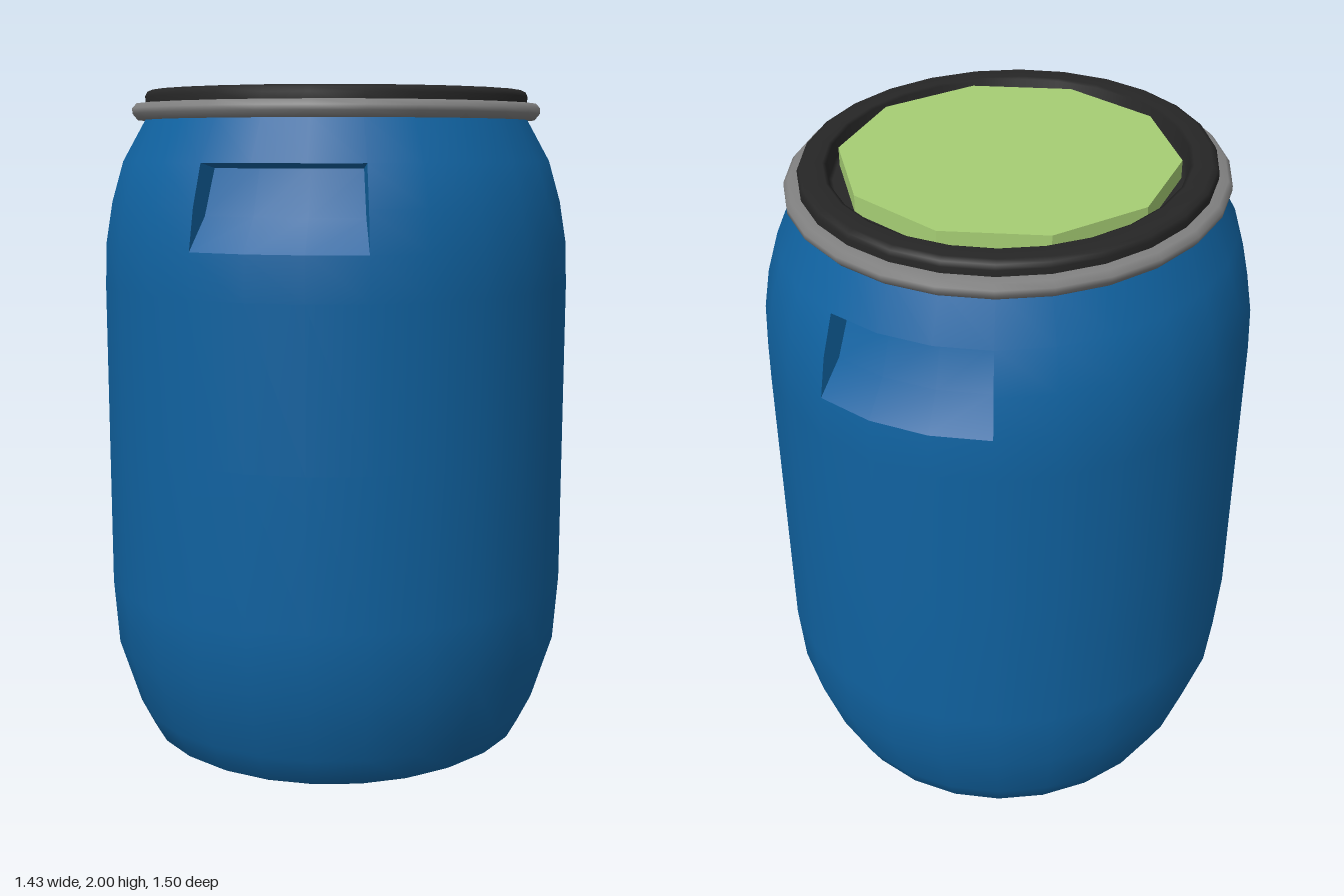
import * as THREE from 'three';

const SIDES = 26;            // facets around the drum
const DEPTH = 1.06;          // drum is slightly deeper than wide
const STEP = (Math.PI * 2) / SIDES;

const blue = new THREE.MeshStandardMaterial({ color: 0x1062a0, side: THREE.DoubleSide });
blue.name = 'blue plastic';
const black = new THREE.MeshStandardMaterial({ color: 0x262626 });
black.name = 'black plastic';
const grey = new THREE.MeshStandardMaterial({ color: 0x808080 });
grey.name = 'grey metal';
const green = new THREE.MeshStandardMaterial({ color: 0xa6ce74 });
green.name = 'green label';

function addMesh(parent, name, geometry, material) {
  const mesh = new THREE.Mesh(geometry, material);
  mesh.name = name;
  parent.add(mesh);
  return mesh;
}

// Turned shape from [radius, y] pairs, with a vertex on the x axis
function turned(profile) {
  const pts = profile.map(([r, y]) => new THREE.Vector2(r, y));
  return new THREE.LatheGeometry(pts, SIDES, Math.PI / 2).scale(1, 1, DEPTH);
}

// Smooth sheet through rows of points, rows going up, points going right
function sheet(rows) {
  const n = rows[0].length;
  const index = [];
  for (let j = 0; j < rows.length - 1; j++) {
    for (let i = 0; i < n - 1; i++) {
      const a = j * n + i, b = a + 1, c = b + n, d = a + n;
      index.push(a, b, c, a, c, d);
    }
  }
  const g = new THREE.BufferGeometry().setFromPoints(rows.flat());
  g.setIndex(index);
  g.computeVertexNormals();
  return g;
}

const bodyProfile = [
  [0, 0.04], [0.42, 0.04], [0.48, 0.025], [0.53, 0.002], [0.57, 0], [0.595, 0.015],
  [0.637, 0.1], [0.70, 0.3], [0.715, 0.5], [0.715, 0.95], [0.715, 1.42],
  [0.71, 1.55], [0.69, 1.67], [0.655, 1.79], [0.585, 1.915], [0.575, 1.95],
];
const GRIP_ROWS = [11, 12];           // profile spans cut away for the grips
const GRIP_COLS = [5, 6, 7, 18, 19, 20];

// Drum shell with two openings for the hand grips
function bodyGeometry() {
  const g = turned(bodyProfile);
  const spans = bodyProfile.length - 1;
  const kept = [];
  const idx = g.index.array;
  for (let k = 0; k < idx.length; k += 6) {
    const quad = k / 6;
    const col = Math.floor(quad / spans), row = quad % spans;
    if (GRIP_COLS.includes(col) && GRIP_ROWS.includes(row)) continue;
    kept.push(...idx.slice(k, k + 6));
  }
  g.setIndex(kept);
  return g;
}

// Recessed hand grip: sloping wall, overhanging lip and two cheeks
function makeGrip() {
  const grip = new THREE.Group();
  const angles = [8, 7, 6, 5].map((k) => k * STEP);
  const at = ([r, y], a) => new THREE.Vector3(r * Math.cos(a), y, r * Math.sin(a) * DEPTH);
  const outer = [[0.71, 1.55], [0.69, 1.67], [0.655, 1.79]];
  const inner = [[0.71, 1.55], [0.64, 1.645], [0.595, 1.775]];
  const row = (p) => angles.map((a) => at(p, a));
  addMesh(grip, 'gripWall', sheet(inner.map(row)), blue);
  addMesh(grip, 'gripLip', sheet([row(inner[2]), row(outer[2])]), blue);
  const left = angles[0], right = angles[3];
  addMesh(grip, 'gripLeftCheek', sheet(outer.map((p, i) => [at(p, left), at(inner[i], left)])), blue);
  addMesh(grip, 'gripRightCheek', sheet(outer.map((p, i) => [at(inner[i], right), at(p, right)])), blue);
  return grip;
}

export function createModel() {
  const drum = new THREE.Group();
  drum.name = 'drum';

  addMesh(drum, 'body', bodyGeometry(), blue);
  for (const [name, turn] of [['frontGrip', 0], ['backGrip', Math.PI]]) {
    const grip = makeGrip();
    grip.name = name;
    grip.rotation.y = turn;
    drum.add(grip);
  }

  // Clamping ring
  addMesh(drum, 'clampRing', turned([
    [0.575, 1.912], [0.61, 1.912], [0.625, 1.93], [0.625, 1.945], [0.612, 1.96], [0.575, 1.962],
  ]), grey);

  // Lid with raised rim and sunken centre
  addMesh(drum, 'lid', turned([
    [0.585, 1.95], [0.586, 1.98], [0.58, 1.993], [0.565, 2], [0.515, 2],
    [0.505, 1.995], [0.5, 1.95], [0.49, 1.945], [0, 1.945],
  ]), black);

  // Ten-sided label disc set into the lid
  const label = addMesh(drum, 'labelDisc', new THREE.CylinderGeometry(0.484, 0.484, 0.055, 10).toNonIndexed(), green);
  label.geometry.computeVertexNormals();
  label.position.y = 1.9715;

  return drum;
}
